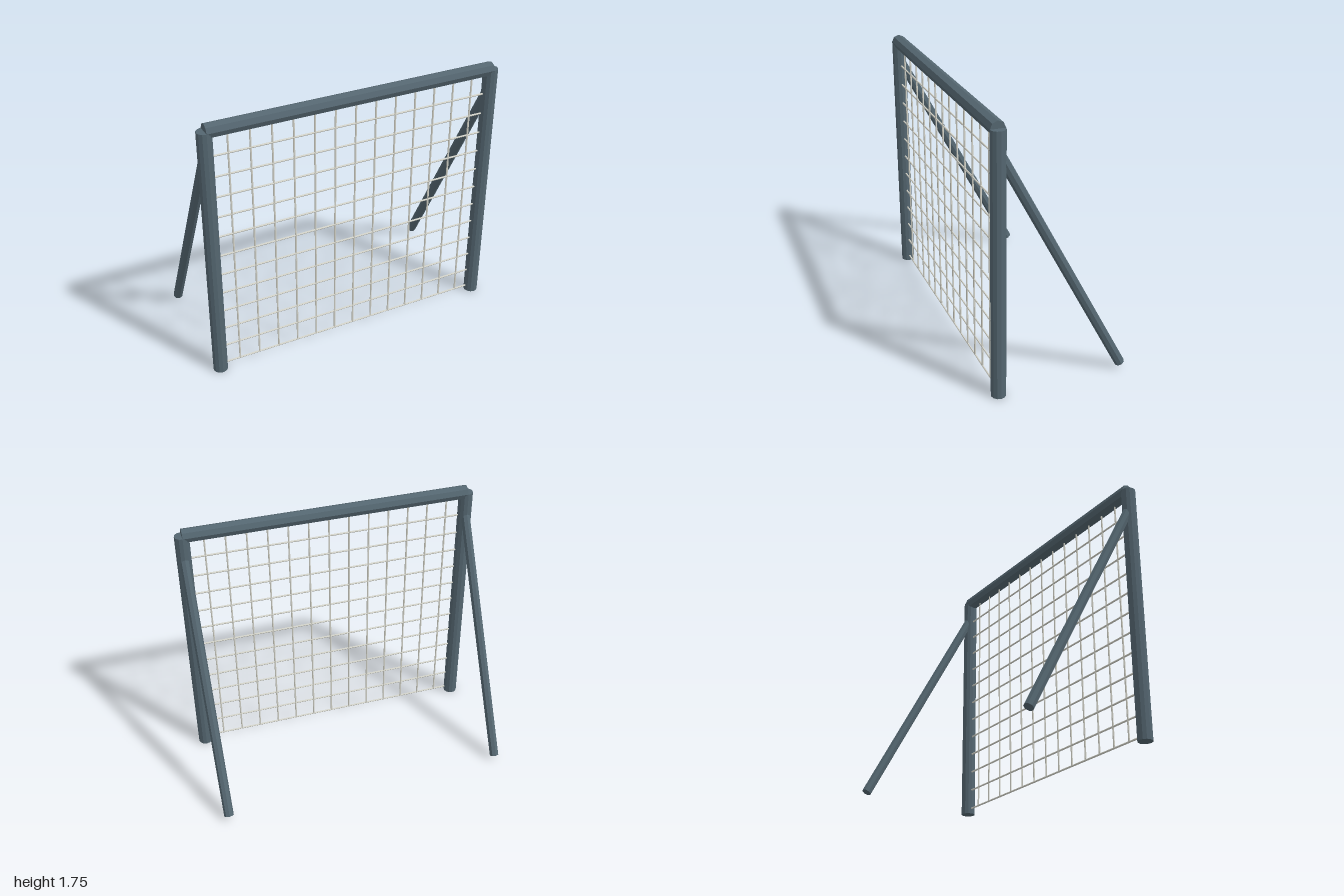
import * as THREE from 'three';

const frameMaterial = new THREE.MeshStandardMaterial({ color: 0x546670, flatShading: true });
const netMaterial = new THREE.MeshStandardMaterial({ color: 0xd5d5cb, flatShading: true });

// Straight round bar between two points
function bar(name, from, to, radius, sides, material) {
  const a = new THREE.Vector3(...from);
  const b = new THREE.Vector3(...to);
  const dir = b.clone().sub(a);
  const mesh = new THREE.Mesh(new THREE.CylinderGeometry(radius, radius, dir.length(), sides), material);
  mesh.name = name;
  mesh.position.copy(a).add(b).multiplyScalar(0.5);
  mesh.quaternion.setFromUnitVectors(new THREE.Vector3(0, 1, 0), dir.normalize());
  return mesh;
}

export function createModel() {
  const model = new THREE.Group();
  model.name = 'goalFrame';
  const postX = 0.953, frontZ = 0.401, height = 1.7;

  // Upright posts and the slanted braces behind them
  for (const [side, s] of [['left', 1], ['right', -1]]) {
    const x = s * postX;
    model.add(bar(side + 'Post', [x, 0, frontZ], [x, height, frontZ], 0.047, 12, frameMaterial));
    model.add(bar(side + 'Brace', [x, 1.57, frontZ], [x, 0.035, -0.414], 0.032, 8, frameMaterial));
  }

  // Crossbar resting in the post tops
  model.add(bar('crossbar', [-postX, height, frontZ], [postX, height, frontZ], 0.0465, 8, frameMaterial));

  // Square mesh net
  const net = new THREE.Group();
  net.name = 'net';
  const step = 0.136, bottom = 0.037, top = bottom + 12 * step, wire = 0.006;
  for (let i = -6; i <= 6; i++) {
    net.add(bar('verticalCord', [i * step, bottom, frontZ], [i * step, top, frontZ], wire, 6, netMaterial));
  }
  for (let j = 0; j <= 12; j++) {
    const y = bottom + j * step;
    net.add(bar('horizontalCord', [-postX, y, frontZ], [postX, y, frontZ], wire, 6, netMaterial));
  }
  model.add(net);
  return model;
}
